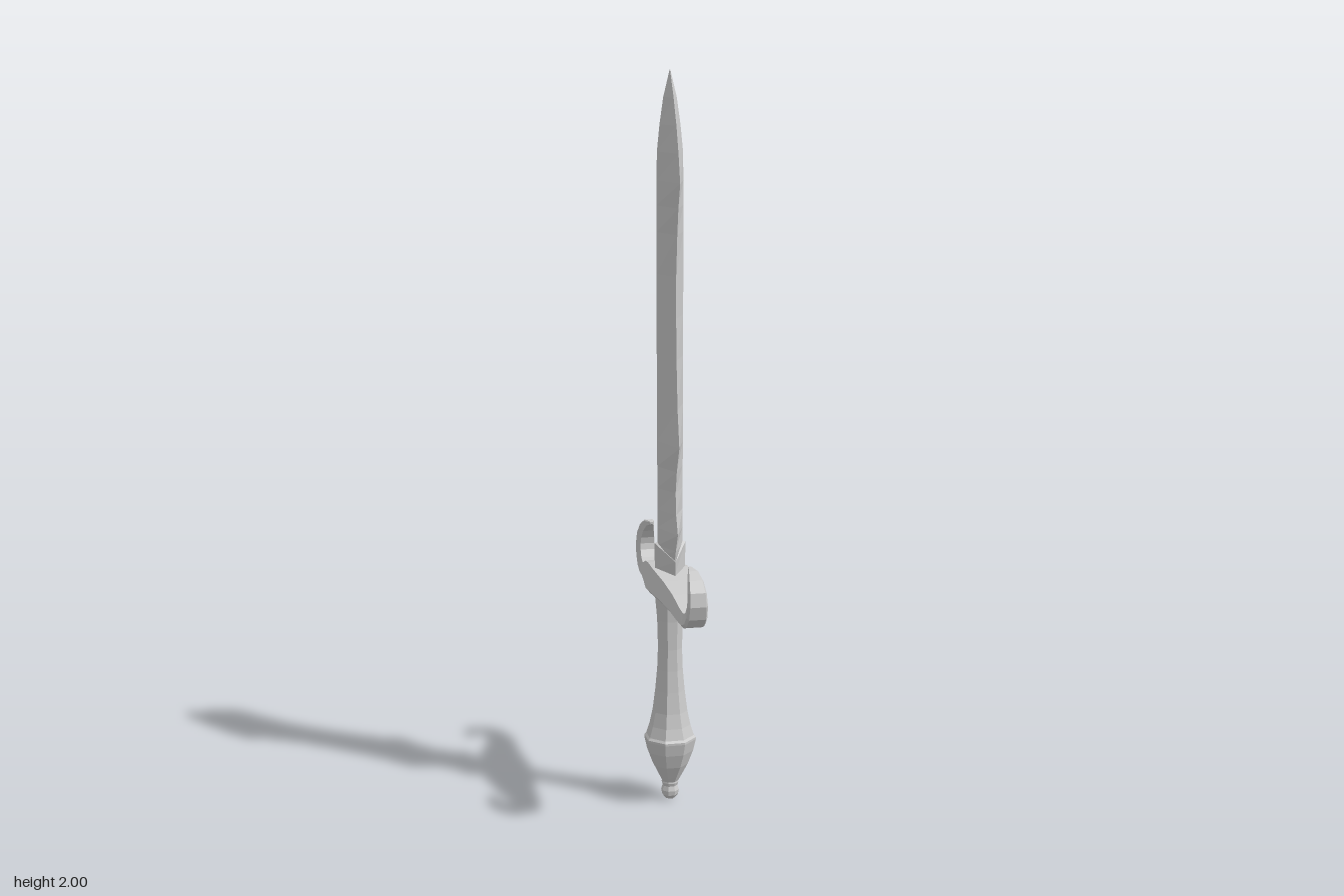
import * as THREE from 'three';

const material = new THREE.MeshStandardMaterial({ color: 0xcccccc, flatShading: true });

// Skins a list of rings (arrays of [x, y, z]) and closes both ends.
function loft(name, rings) {
  const pos = [];
  const tri = (a, b, c) => pos.push(...a, ...b, ...c);
  const n = rings[0].length;
  for (let i = 0; i < rings.length - 1; i++) {
    for (let j = 0; j < n; j++) {
      const k = (j + 1) % n;
      const a = rings[i][j], b = rings[i][k], c = rings[i + 1][k], d = rings[i + 1][j];
      tri(a, b, c);
      tri(a, c, d);
    }
  }
  const first = rings[0], last = rings[rings.length - 1];
  for (let j = 1; j < n - 1; j++) {
    tri(first[0], first[j + 1], first[j]);
    tri(last[0], last[j], last[j + 1]);
  }
  const geometry = new THREE.BufferGeometry();
  geometry.setAttribute('position', new THREE.Float32BufferAttribute(pos, 3));
  geometry.computeVertexNormals();
  const mesh = new THREE.Mesh(geometry, material);
  mesh.name = name;
  return mesh;
}

// Diamond section: edges along z at height y, ridges along x at height ridgeY.
const diamond = (y, w, t, ridgeY = y) => [[0, y, w], [t, ridgeY, 0], [0, y, -w], [-t, ridgeY, 0]];

function createBlade() {
  // height, half width, half thickness
  const profile = [
    [0.64, 0.055, 0.034], [0.70, 0.062, 0.034], [0.73, 0.074, 0.035], [0.78, 0.099, 0.035],
    [0.83, 0.078, 0.035], [0.89, 0.071, 0.035], [0.95, 0.085, 0.035], [1.02, 0.116, 0.036],
    [1.12, 0.094, 0.036], [1.25, 0.081, 0.036], [1.36, 0.076, 0.036], [1.47, 0.076, 0.036],
    [1.58, 0.089, 0.036], [1.65, 0.102, 0.036], [1.715, 0.123, 0.036], [1.79, 0.103, 0.035],
    [1.86, 0.078, 0.028], [1.93, 0.044, 0.018], [2.0, 0.001, 0.001],
  ];
  return loft('blade', profile.map(([y, w, t]) => diamond(y, w, t)));
}

// Chevron collar that clasps the blade root.
function createCollar() {
  return loft('bladeCollar', [
    diamond(0.63, 0.066, 0.042),
    diamond(0.665, 0.067, 0.042),
    diamond(0.70, 0.073, 0.043, 0.737),
    diamond(0.702, 0.055, 0.034, 0.74),
  ]);
}

// Hexagonal crossguard sweeping out along z and curling upwards at both ends.
function createGuard() {
  // outer z, outer y, inner z, inner y, half width at the widest edge
  const half = [
    [0, 0.597, 0, 0.668, 0.068], [0.10, 0.595, 0.10, 0.656, 0.054],
    [0.18, 0.590, 0.18, 0.640, 0.043], [0.235, 0.581, 0.235, 0.620, 0.035],
    [0.275, 0.577, 0.262, 0.613, 0.030], [0.308, 0.589, 0.285, 0.621, 0.029],
    [0.334, 0.615, 0.299, 0.640, 0.028], [0.344, 0.651, 0.303, 0.657, 0.027],
    [0.337, 0.687, 0.300, 0.675, 0.025], [0.315, 0.715, 0.289, 0.697, 0.021],
    [0.283, 0.732, 0.270, 0.717, 0.014], [0.245, 0.734, 0.245, 0.727, 0.004],
  ];
  const section = ([oz, oy, iz, iy, a], side) => {
    const at = (x, f) => [x, oy + (iy - oy) * f, side * (oz + (iz - oz) * f)];
    const outer = a * 0.8, inner = a * 0.74;
    return [at(-outer, 0), at(outer, 0), at(a, 0.22), at(inner, 1), at(-inner, 1), at(-a, 0.22)];
  };
  const back = half.slice(1).reverse().map((p) => section(p, -1));
  const front = half.map((p) => section(p, 1));
  return loft('crossguard', [...back, ...front]);
}

// Eight-sided turned part; radii are measured to the flats.
function createTurned(name, profile) {
  const points = profile.map(([r, y]) => new THREE.Vector2(r / Math.cos(Math.PI / 8), y));
  const mesh = new THREE.Mesh(new THREE.LatheGeometry(points, 8, Math.PI / 8), material);
  mesh.name = name;
  return mesh;
}

export function createModel() {
  const model = new THREE.Group();
  model.name = 'sword';
  model.add(
    createBlade(),
    createCollar(),
    createGuard(),
    createTurned('grip', [
      [0.062, 0.19], [0.053, 0.22], [0.045, 0.26], [0.038, 0.32], [0.033, 0.38],
      [0.031, 0.44], [0.033, 0.52], [0.038, 0.58], [0.038, 0.62],
    ]),
    createTurned('pommel', [
      [0, 0.05], [0.020, 0.052], [0.028, 0.068], [0.046, 0.105], [0.060, 0.145],
      [0.067, 0.178], [0.067, 0.184], [0.062, 0.19],
    ]),
    createTurned('pommelFinial', [
      [0, 0], [0.013, 0.004], [0.021, 0.015], [0.023, 0.028], [0.019, 0.041], [0.022, 0.05], [0.020, 0.06], [0, 0.06],
    ]),
  );
  return model;
}
